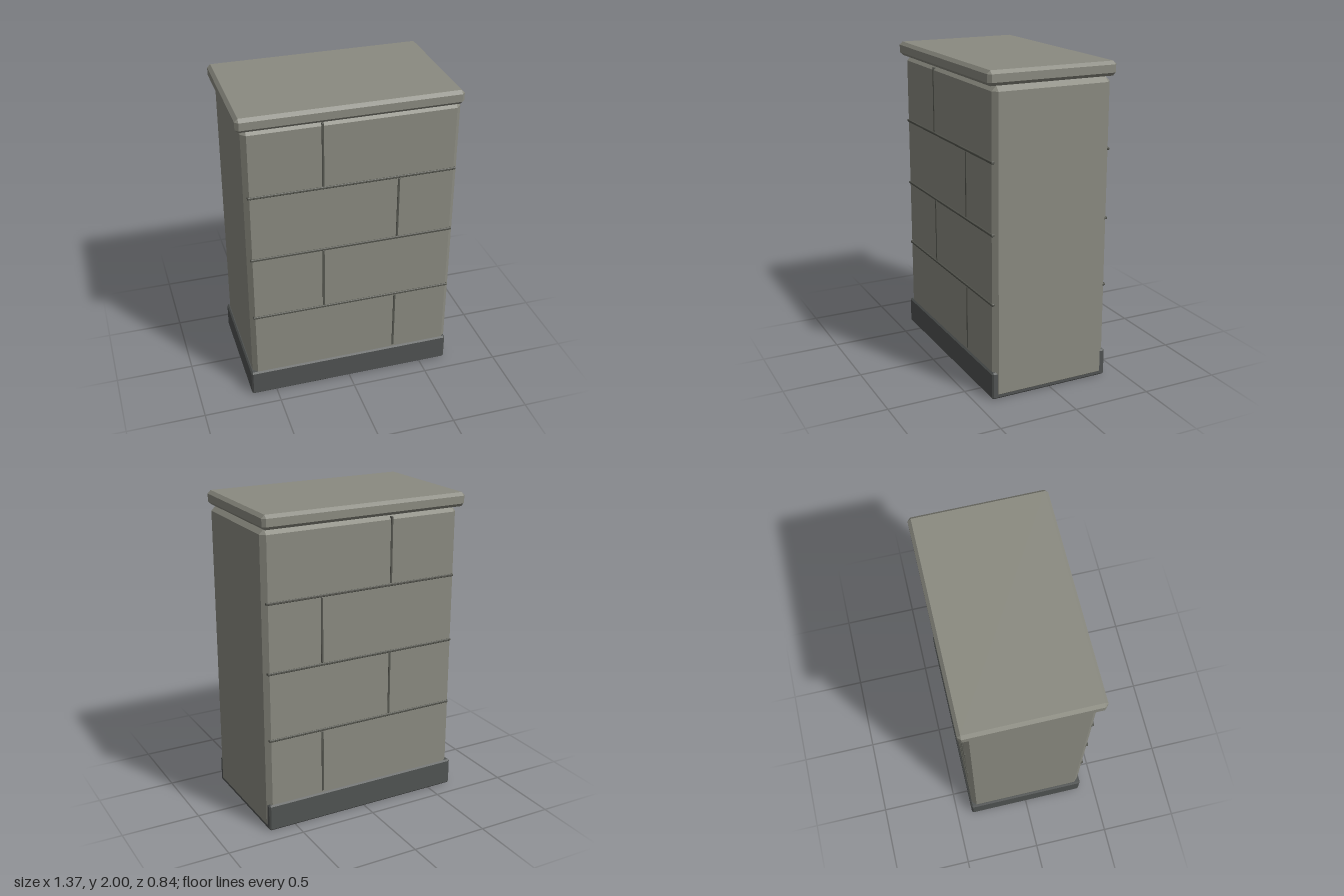
import * as THREE from 'three';
import { ConvexGeometry } from 'three/addons/geometries/ConvexGeometry.js';

// Box between two corners with every edge cut by a flat chamfer c
function chamferBox(min, max, c) {
  const points = [];
  const pick = (axis, s, inset) => (s > 0 ? max[axis] - inset : min[axis] + inset);
  for (const sx of [-1, 1]) for (const sy of [-1, 1]) for (const sz of [-1, 1]) {
    for (let outer = 0; outer < 3; outer++) {
      const s = [sx, sy, sz];
      points.push(new THREE.Vector3(...s.map((v, a) => pick(a, v, a === outer ? 0 : c))));
    }
  }
  return new ConvexGeometry(points);
}

export function createModel() {
  const group = new THREE.Group();
  const stone = new THREE.MeshStandardMaterial({ color: 0x8a8a80 });
  const plinthStone = new THREE.MeshStandardMaterial({ color: 0x505352 });
  const mortar = new THREE.MeshStandardMaterial({ color: 0x55564f });

  const add = (name, min, max, c, material) => {
    const mesh = new THREE.Mesh(chamferBox(min, max, c), material);
    mesh.name = name;
    group.add(mesh);
  };

  // Main masses
  add('plinth', [-0.665, 0, -0.395], [0.678, 0.175, 0.395], 0.01, plinthStone);
  add('wallBody', [-0.65, 0.002, -0.385], [0.682, 1.91, 0.385], 0.03, stone);
  add('capstone', [-0.685, 1.912, -0.418], [0.685, 2, 0.418], 0.02, stone);

  // Mortar joints on the front and back faces
  const courses = [0.177, 0.61, 1.042, 1.475, 1.908];
  for (const [side, s] of [['front', 1], ['back', -1]]) {
    const strip = (name, x0, x1, y0, y1, depth, c) => {
      const z = [s * 0.37, s * depth].sort((a, b) => a - b);
      add(name, [x0, y0, z[0]], [x1, y1, z[1]], c, mortar);
    };
    for (let i = 0; i < 4; i++) {
      const y = courses[i];
      if (i > 0) strip(side + 'BedJoint' + i, -0.632, 0.665, y - 0.008, y + 0.008, 0.392, 0.003);
      const x = i % 2 ? -0.174 : 0.302;
      strip(side + 'HeadJoint' + (i + 1), x - 0.007, x + 0.007, y + 0.01, courses[i + 1] - 0.01, 0.389, 0.002);
    }
  }
  return group;
}
